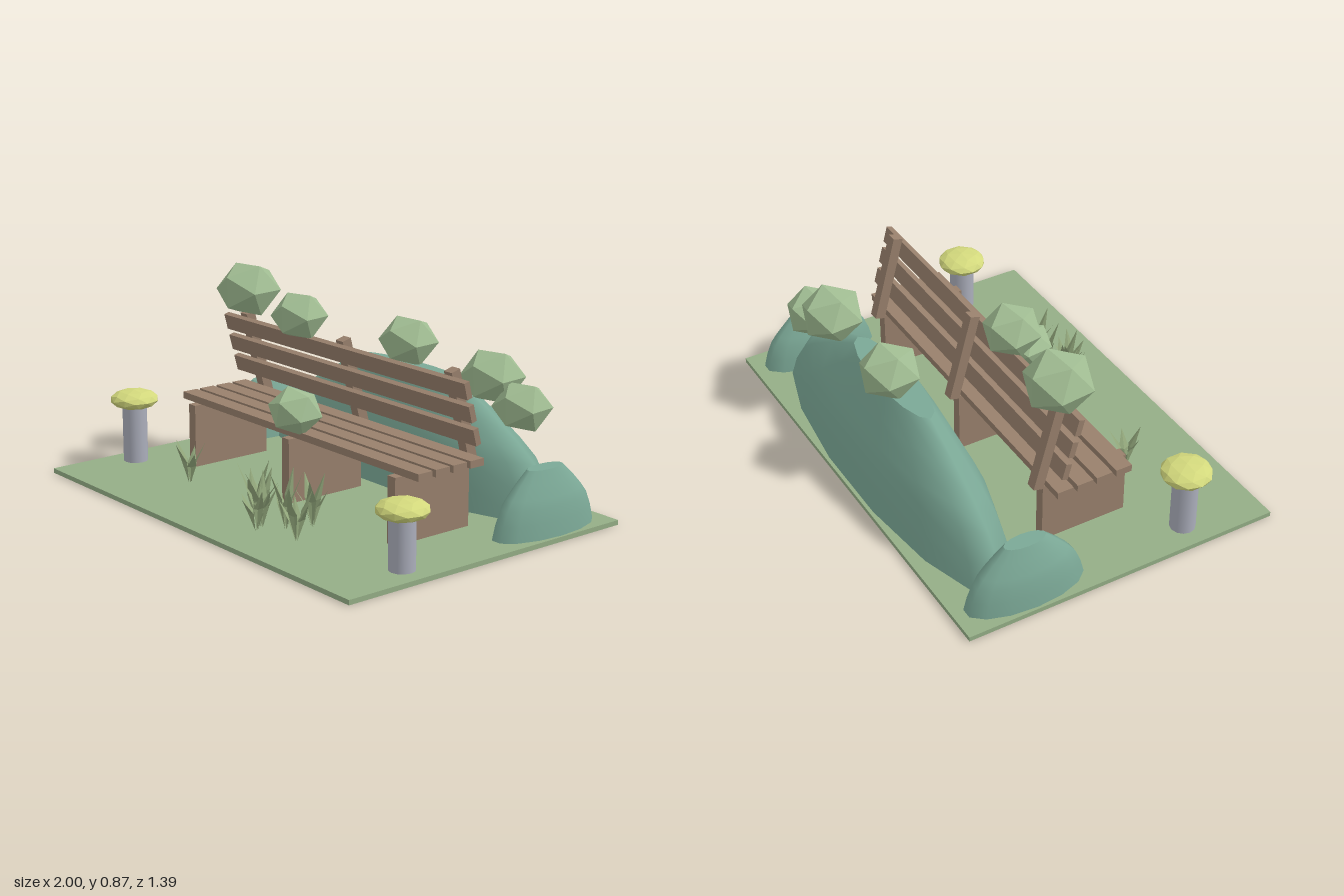
import * as THREE from 'three';

const mat = (name, color, opts = {}) => {
  const m = new THREE.MeshStandardMaterial({ color, ...opts });
  m.name = name;
  return m;
};

export function createModel() {
  const lawnGreen = mat('lawnGreen', 0x94ae86);
  const wood = mat('woodBrown', 0x98806c);
  const hillTeal = mat('hillTeal', 0x7ba896, { side: THREE.DoubleSide });
  const leafGreen = mat('leafGreen', 0xa0bc92, { flatShading: true });
  const stone = mat('stoneGrey', 0xabaebb);
  const capYellow = mat('capYellow', 0xd2d87c, { flatShading: true });
  const bladeGreen = mat('bladeGreen', 0x93a87c, { flatShading: true, side: THREE.DoubleSide });

  const root = new THREE.Group();
  root.name = 'gardenBench';
  const add = (parent, name, geo, material, x = 0, y = 0, z = 0) => {
    const mesh = new THREE.Mesh(geo, material);
    mesh.name = name;
    mesh.position.set(x, y, z);
    parent.add(mesh);
    return mesh;
  };
  const group = (name, x = 0, y = 0, z = 0) => {
    const g = new THREE.Group();
    g.name = name;
    g.position.set(x, y, z);
    root.add(g);
    return g;
  };
  const box = (w, h, d) => new THREE.BoxGeometry(w, h, d);

  // Ground slab
  add(root, 'ground', box(2, 0.02, 1.386), lawnGreen, 0, 0.01, 0);

  // Bench: panel legs, seat slats, and a tilted back with posts and slats
  const bench = group('bench');
  const back = group('benchBack', 0, 0.474, -0.151);
  back.rotation.x = 0.262;
  for (const x of [-0.655, 0, 0.655]) {
    add(bench, 'leg', box(0.045, 0.273, 0.382), wood, x, 0.1565, 0.01);
    add(back, 'backPost', box(0.045, 0.388, 0.044), wood, x, 0, 0);
  }
  for (const z of [0.131, 0.042, -0.046, -0.135])
    add(bench, 'seatSlat', box(1.54, 0.03, 0.071), wood, 0, 0.308, z);
  for (const y of [0.145, 0.046, -0.054])
    add(back, 'backSlat', box(1.54, 0.07, 0.026), wood, 0, y, 0.034);

  // Hills: one rounded, flat-topped profile stretched to each size
  const profile = [[1, 0], [0.94, 0.24], [0.85, 0.46], [0.745, 0.6], [0.56, 0.8], [0.35, 1]]
    .map(([r, y]) => new THREE.Vector2(r, y));
  const hillSide = new THREE.LatheGeometry(profile, 14, Math.PI / 14);
  const hillTop = new THREE.CircleGeometry(0.35, 14).rotateX(-Math.PI / 2);
  const hill = (name, x, z, rx, h, rz) => {
    const g = group(name, x, 0.02, z);
    add(g, 'hillSide', hillSide, hillTeal);
    add(g, 'hillTop', hillTop, hillTeal, 0, 1, 0);
    g.scale.set(rx, h, rz);
  };
  hill('backHill', 0, -0.465, 0.885, 0.47, 0.218);
  hill('leftHill', 0.885, -0.387, 0.105, 0.255, 0.26);
  hill('rightHill', -0.885, -0.387, 0.105, 0.255, 0.26);

  // Round mushroom-capped bollards
  for (const [x, y] of [[-0.885, 0.296], [0.885, 0.254]]) {
    const g = group('bollard', x, 0, 0.345);
    add(g, 'stem', new THREE.CylinderGeometry(0.053, 0.053, y - 0.03, 12), stone, 0, 0.02 + (y - 0.03) / 2, 0);
    add(g, 'cap', new THREE.IcosahedronGeometry(0.106, 1), capYellow, 0, y, 0).scale.y = 0.4;
  }

  // Leaf balls: x, y, z, radius, yaw, roll
  const balls = [
    [-0.655, 0.761, -0.108, 0.145, 0.1, 0.03],
    [-0.24, 0.722, -0.062, 0.123, 0.15, 0.04],
    [0.013, 0.405, 0.16, 0.115, 0.1, -0.2],
    [-0.065, 0.58, -0.514, 0.132, 0.08, 0],
    [0.46, 0.53, -0.505, 0.138, 0.1, 0.05],
    [0.63, 0.438, -0.51, 0.125, 0.12, 0.04],
  ];
  for (const [x, y, z, r, yaw, roll] of balls) {
    const b = add(root, 'leafBall', new THREE.IcosahedronGeometry(r, 0), leafGreen, x, y, z);
    b.scale.y = 0.87;
    b.rotation.set(0, yaw, roll);
  }

  // Grass tufts: kite-shaped blades, folded along the middle and leaning out
  const blade = new THREE.BufferGeometry();
  blade.setAttribute('position', new THREE.Float32BufferAttribute([
    0, 0, 0.005, -0.02, 0.55, 0.028, 0, 0.5, 0.018, 0.02, 0.55, 0.028, 0, 1, 0.07], 3));
  blade.setIndex([0, 2, 1, 0, 3, 2, 1, 2, 4, 2, 3, 4]);
  blade.computeVertexNormals();
  const tufts = [
    [-0.465, 0.35, 0.18], [0.05, 0.36, 0.2], [0.07, 0.41, 0.23], [0.18, 0.46, 0.24],
    [0.26, 0.4, 0.24], [0.3, 0.3, 0.23], [0.39, 0.45, 0.2], [0.2, 0.5, 0.2],
  ];
  tufts.forEach(([x, z, h], i) => {
    const g = group('grassTuft', x, 0.02, z);
    for (let k = 0; k < 5; k++) {
      const b = add(g, 'blade', blade, bladeGreen);
      b.rotation.y = i * 0.9 + k * Math.PI * 0.4;
      b.scale.set(1, h * (1 - 0.1 * ((k * 2 + i) % 4)), 1);
    }
  });

  return root;
}
